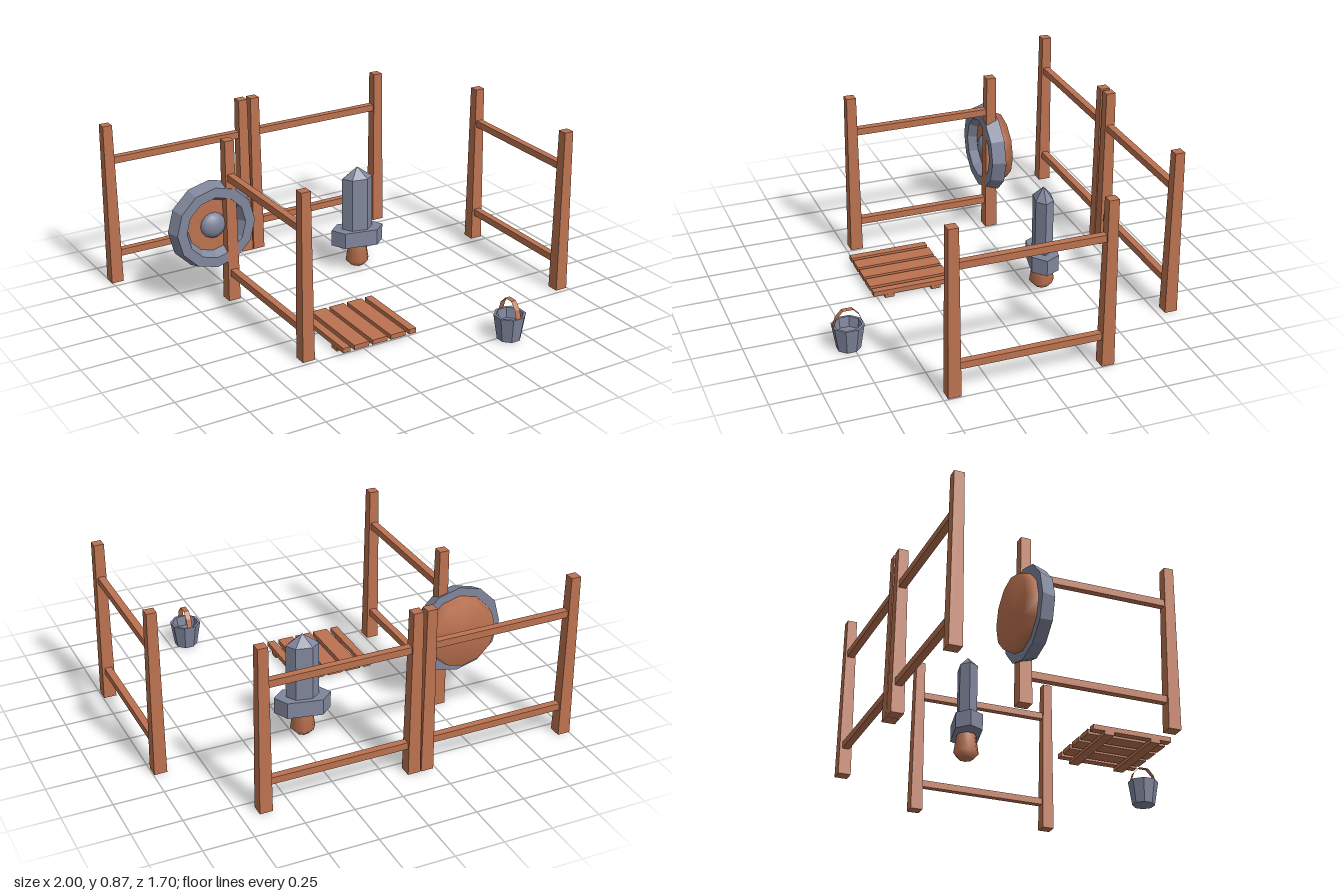
import * as THREE from 'three';
import { ConvexGeometry } from 'three/addons/geometries/ConvexGeometry.js';

const wood = new THREE.MeshStandardMaterial({ color: 0xbc7250 });
wood.name = 'wood';
const metal = new THREE.MeshStandardMaterial({ color: 0x80869c });
metal.name = 'metal';
const strap = new THREE.MeshStandardMaterial({ color: 0xbc7250, side: THREE.DoubleSide });
strap.name = 'wood strap';

// Faceted copy of a geometry
function flat(geo) {
  const g = geo.index ? geo.toNonIndexed() : geo;
  g.computeVertexNormals();
  return g;
}

function add(parent, name, geo, mat, x = 0, y = 0, z = 0) {
  const m = new THREE.Mesh(geo, mat);
  m.name = name;
  m.position.set(x, y, z);
  parent.add(m);
  return m;
}

function group(parent, name, x, y, z) {
  const g = new THREE.Group();
  g.name = name;
  g.position.set(x, y, z);
  parent.add(g);
  return g;
}

function lathe(pairs, sides) {
  return new THREE.LatheGeometry(pairs.map(([r, y]) => new THREE.Vector2(r, y)), sides);
}

// Two tapered posts joined by two rails, running along local x
function addFence(parent, name, x, z, span, turn) {
  const fence = group(parent, name, x, 0, z);
  fence.rotation.y = turn;
  const post = flat(new THREE.CylinderGeometry(0.025 * Math.SQRT2, 0.0325 * Math.SQRT2, 0.865, 4).rotateY(Math.PI / 4));
  for (const s of [-1, 1]) add(fence, 'post', post, wood, s * span / 2, 0.4325, 0);
  for (const y of [0.155, 0.672]) {
    add(fence, 'rail', new THREE.BoxGeometry(span - 0.03, 0.036, 0.036), wood, 0, y, 0);
  }
}

// Elongated hexagon ring at height y
function hexRing(tip, side, depth, y) {
  return [[tip, 0], [side, depth], [-side, depth], [-tip, 0], [-side, -depth], [side, -depth]]
    .map(([x, z]) => new THREE.Vector3(x, y, z));
}

function addSword(parent) {
  const sword = group(parent, 'sword', 0.206, 0, -0.315);
  sword.rotation.y = -0.21;
  const blade = [...hexRing(0.083, 0.042, 0.045, 0.2), ...hexRing(0.083, 0.042, 0.045, 0.51), new THREE.Vector3(0, 0.57, 0)];
  add(sword, 'blade', new ConvexGeometry(blade), metal);
  add(sword, 'guard', new ConvexGeometry([...hexRing(0.142, 0.089, 0.068, 0.14), ...hexRing(0.142, 0.089, 0.068, 0.225)]), metal);
  add(sword, 'grip', lathe([[0, 0.012], [0.035, 0.014], [0.064, 0.045], [0.048, 0.15]], 8), wood);
}

function addShield(parent) {
  const shield = group(parent, 'shield', -0.627, 0.42, -0.36);
  shield.rotation.x = Math.PI / 2; // local +y faces the front
  add(shield, 'shieldRim', flat(lathe([[0.185, 0], [0.235, 0], [0.215, 0.07], [0.163, 0.07], [0.136, 0.02], [0.185, 0]], 12)), metal);
  add(shield, 'shieldBack', lathe([[0, -0.06], [0.178, -0.06], [0.19, 0.005]], 12), wood);
  add(shield, 'shieldFace', new THREE.CircleGeometry(0.15, 12).rotateX(-Math.PI / 2), wood, 0, 0.025, 0);
  add(shield, 'shieldBoss', new THREE.SphereGeometry(0.068, 14, 10), metal, 0, 0.025, 0).scale.y = 0.65;
}

function addPallet(parent) {
  const pallet = group(parent, 'pallet', -0.172, 0, 0.317);
  for (const z of [-0.123, 0.123]) add(pallet, 'crossBeam', new THREE.BoxGeometry(0.415, 0.018, 0.05), wood, 0, 0.011, z);
  for (const [x, w] of [[-0.187, 0.04], [-0.103, 0.083], [0, 0.083], [0.103, 0.083], [0.187, 0.04]]) {
    add(pallet, 'plank', new THREE.BoxGeometry(w, 0.025, 0.415), wood, x, 0.0325, 0);
  }
}

function addBucket(parent) {
  const bucket = group(parent, 'bucket', 0.413, 0, 0.772);
  const shell = lathe([[0, 0.002], [0.06, 0.002], [0.081, 0.132], [0.068, 0.132], [0.06, 0.08], [0, 0.08]], 8);
  add(bucket, 'pail', flat(shell.rotateY(Math.PI / 8)), metal);
  // Thin bent strap, arching from front to back
  const arch = [[-0.074, 0.125], [-0.058, 0.175], [-0.025, 0.21], [0.025, 0.21], [0.058, 0.175], [0.074, 0.125]];
  const geo = new THREE.PlaneGeometry(0.028, 1, 1, arch.length - 1);
  const pos = geo.attributes.position;
  for (let i = 0; i < pos.count; i++) {
    const [z, y] = arch[Math.floor(i / 2)];
    pos.setXYZ(i, pos.getX(i), y, z);
  }
  add(bucket, 'bucketHandle', flat(geo), strap);
}

export function createModel() {
  const model = new THREE.Group();
  model.name = 'trainingYard';
  addFence(model, 'backRightFence', -0.5875, -0.82, 0.765, 0);
  addFence(model, 'backLeftFence', 0.2475, -0.82, 0.765, 0);
  addFence(model, 'rightFence', -0.54, 0.063, 0.765, Math.PI / 2);
  addFence(model, 'leftFence', 0.963, 0.063, 0.765, Math.PI / 2);
  addShield(model);
  addSword(model);
  addPallet(model);
  addBucket(model);
  return model;
}
